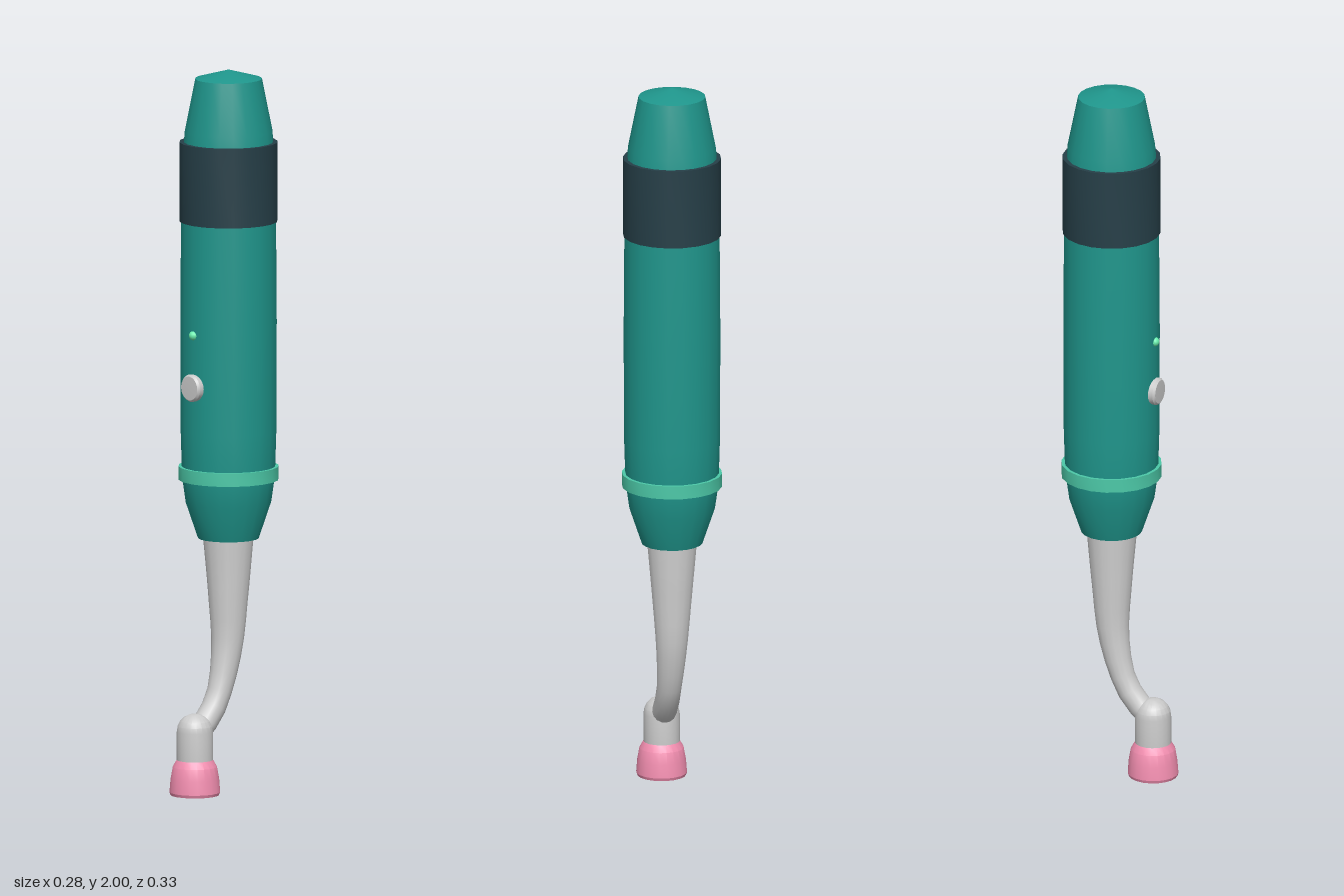
import * as THREE from 'three';
import { toCreasedNormals } from 'three/addons/utils/BufferGeometryUtils.js';

const mat = (color) => new THREE.MeshStandardMaterial({ color });
const TEAL = mat(0x1f968c), DARK = mat(0x263f48), MINT = mat(0x4cc9a8);
const PINK = mat(0xf48fb1), GREY = mat(0xcccccc), GREEN = mat(0x69f0ae);
const BODY_Z = -0.027, HEAD_Z = 0.098;

export function createModel() {
  const model = new THREE.Group();

  const add = (name, geometry, material, x = 0, y = 0, z = 0, parent = model) => {
    const mesh = new THREE.Mesh(geometry, material);
    mesh.name = name;
    mesh.position.set(x, y, z);
    parent.add(mesh);
    return mesh;
  };
  // Turned part from [radius, height] pairs, listed bottom to top on the outside
  const turned = (points, sides) => toCreasedNormals(
    new THREE.LatheGeometry(points.map(([r, y]) => new THREE.Vector2(r, y)), sides), 0.4);

  // Handle: tapered nose, long barrel, slightly pointed end cap
  add('handle', turned([
    [0, 0.7], [0.084, 0.7], [0.118, 0.8], [0.128, 0.87], [0.132, 1.0], [0.133, 1.3],
    [0.131, 1.58], [0.126, 1.76], [0.121, 1.83], [0.092, 1.975], [0, 2.0],
  ], 20), TEAL, 0, 0, BODY_Z);

  // Dark grip band and thin accent ring
  add('gripBand', turned([[0.12, 1.58], [0.135, 1.58], [0.135, 1.8], [0.12, 1.8]], 20), DARK, 0, 0, BODY_Z);
  add('accentRing', turned([[0.12, 0.863], [0.138, 0.863], [0.138, 0.9], [0.12, 0.9]], 20), MINT, 0, 0, BODY_Z);

  // Power button and indicator light on the front
  const button = add('button', turned([
    [0, 0], [0.038, 0], [0.038, 0.016], [0.033, 0.022], [0, 0.023],
  ], 20), GREY, 0, 1.13, 0.097);
  button.rotation.x = Math.PI / 2;
  add('indicatorLight', new THREE.SphereGeometry(0.013, 12, 8), GREEN, 0, 1.275, 0.103);

  // Bent neck: a tube whose rings shrink towards the head
  const path = new THREE.CatmullRomCurve3([
    [0.72, -0.026], [0.55, -0.026], [0.39, -0.02], [0.26, 0.014], [0.2, 0.056], [0.165, 0.098],
  ].map(([y, z]) => new THREE.Vector3(0, y, z)));
  const steps = 12, sides = 16;
  const neck = new THREE.TubeGeometry(path, steps, 1, sides);
  const pos = neck.attributes.position, v = new THREE.Vector3();
  for (let i = 0; i <= steps; i++) {
    const t = i / steps, center = path.getPointAt(t);
    const radius = 0.034 + 0.037 * Math.pow(Math.max(0, 1 - t / 0.75), 1.1);
    for (let j = 0; j <= sides; j++) {
      const k = i * (sides + 1) + j;
      v.fromBufferAttribute(pos, k).sub(center).multiplyScalar(radius).add(center);
      pos.setXYZ(k, v.x, v.y, v.z);
    }
  }
  add('neck', neck, GREY);

  // Head: short cylinder with a domed top
  const head = new THREE.Group();
  head.name = 'head';
  head.position.z = HEAD_Z;
  model.add(head);
  const dome = [[0, 0.09], [0.05, 0.09], [0.05, 0.175]];
  for (let i = 1; i <= 5; i++) {
    const a = (i / 5) * Math.PI / 2;
    dome.push([0.05 * Math.cos(a), 0.175 + 0.05 * Math.sin(a)]);
  }
  add('headCasing', turned(dome, 20), GREY, 0, 0, 0, head);

  // Soft polishing cup, hollow underneath, with inner webs around a small core
  add('cup', turned([
    [0, 0.055], [0.042, 0.05], [0.052, 0.025], [0.057, 0], [0.067, 0], [0.07, 0.008],
    [0.067, 0.045], [0.061, 0.078], [0.05, 0.097], [0, 0.1],
  ], 20), PINK, 0, 0, 0, head);
  add('cupCore', new THREE.CylinderGeometry(0.01, 0.01, 0.04, 12), PINK, 0, 0.04, 0, head);
  for (let i = 0; i < 3; i++) {
    const web = add('cupWeb', new THREE.BoxGeometry(0.09, 0.03, 0.006), PINK, 0, 0.042, 0, head);
    web.rotation.y = i * Math.PI / 3;
  }

  return model;
}
